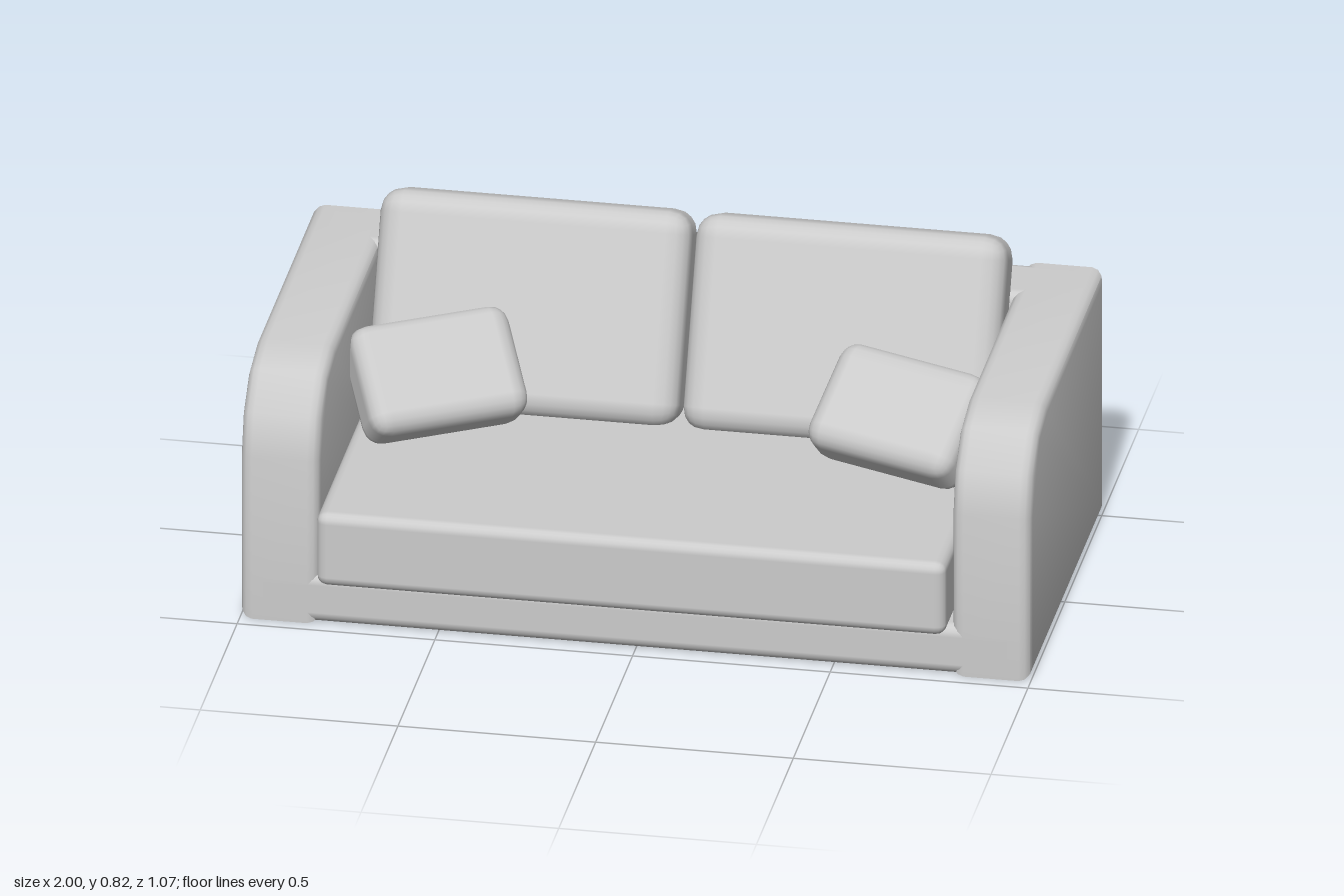
import * as THREE from 'three';
import { RoundedBoxGeometry } from 'three/addons/geometries/RoundedBoxGeometry.js';
import { toCreasedNormals } from 'three/addons/utils/BufferGeometryUtils.js';

const material = new THREE.MeshStandardMaterial({ color: 0xcccccc });

export function createModel() {
  const sofa = new THREE.Group();
  sofa.name = 'sofa';

  const add = (name, geometry, position, rotation = [0, 0, 0]) => {
    const mesh = new THREE.Mesh(geometry, material);
    mesh.name = name;
    mesh.position.set(...position);
    mesh.rotation.set(...rotation.map(THREE.MathUtils.degToRad), 'YXZ');
    sofa.add(mesh);
    return mesh;
  };
  const softBox = (w, h, d, r, segments = 2) => new RoundedBoxGeometry(w, h, d, segments, r);

  // Arm: side profile with a curved front top, bevelled all round
  const b = 0.03;
  const back = -0.535 + b, front = 0.465 - b, bottom = b, top = 0.667 - b, r = 0.195;
  const profile = new THREE.Shape();
  profile.moveTo(back, bottom);
  profile.lineTo(front, bottom);
  for (let i = 0; i <= 3; i++) {
    const a = (i / 3) * Math.PI / 2;
    profile.lineTo(front - r + r * Math.cos(a), top - r + r * Math.sin(a));
  }
  profile.lineTo(back, top);
  const armGeometry = toCreasedNormals(
    new THREE.ExtrudeGeometry(profile, {
      depth: 0.2 - 2 * b, bevelEnabled: true, bevelSize: b, bevelThickness: b, bevelSegments: 3,
    }).rotateY(-Math.PI / 2), // profile z forward, depth towards -x
    0.8,
  );
  add('leftArm', armGeometry, [1 - b, 0, 0]);
  add('rightArm', armGeometry, [-0.8 - b, 0, 0]);

  // Base and back panel run into the arms
  add('base', softBox(1.94, 0.135, 1, b), [0, 0.0675, -0.035]);
  add('backPanel', softBox(1.94, 0.667, 0.185, b), [0, 0.3335, -0.4425]);

  // One long seat cushion overhanging the front
  add('seatCushion', softBox(1.592, 0.2, 0.93, 0.027), [0, 0.235, 0.068]);

  // Two leaning back cushions
  for (const [side, name] of [[1, 'leftBackCushion'], [-1, 'rightBackCushion']]) {
    add(name, softBox(0.79, 0.545, 0.18, 0.06), [side * 0.399, 0.555, -0.283], [-24, 0, 0]);
  }

  // Throw pillows reclining in the corners
  add('leftThrowPillow', softBox(0.42, 0.29, 0.15, 0.05), [0.582, 0.46, -0.03], [-48, -21, 0]);
  add('rightThrowPillow', softBox(0.42, 0.29, 0.15, 0.05), [-0.597, 0.47, -0.03], [-43, 31, 0]);

  return sofa;
}
